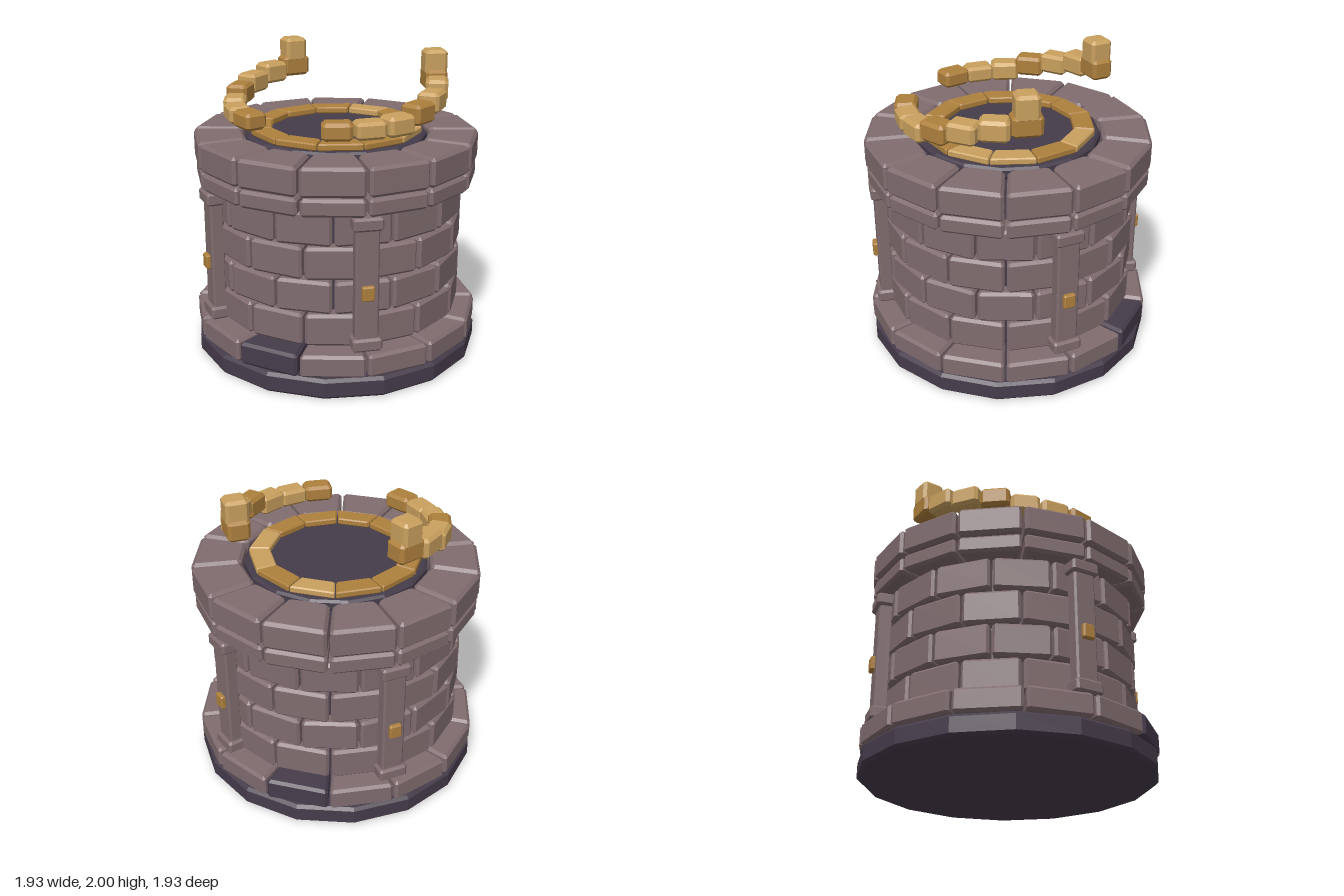
import * as THREE from 'three';

const mat = (name, color) => {
  const m = new THREE.MeshStandardMaterial({ color });
  m.name = name;
  m.flatShading = true;
  return m;
};

// Prism over a polygon of [x, z] points, standing on y = 0, with chamfered edges.
function prism(points, height, bevel, cutCorners = true) {
  const pts = points.map(([x, z]) => new THREE.Vector2(x, -z));
  const n = pts.length;
  const outline = !cutCorners ? pts : pts.flatMap((p, i) =>
    [pts[(i + n - 1) % n], pts[(i + 1) % n]].map((q) =>
      p.clone().add(q.clone().sub(p).setLength(bevel))));
  const geo = new THREE.ExtrudeGeometry(new THREE.Shape(outline), {
    depth: height - 2 * bevel, bevelEnabled: true, bevelSegments: 1,
    bevelSize: bevel, bevelThickness: bevel, bevelOffset: -bevel,
  });
  return geo.translate(0, 0, bevel).rotateX(-Math.PI / 2);
}

// Chamfered box centred on its own middle.
function block(w, h, d, bevel) {
  const x = w / 2, z = d / 2;
  return prism([[x, z], [x, -z], [-x, -z], [-x, z]], h, bevel).translate(0, -h / 2, 0);
}

// Chamfered disc with corners on the axes.
function disc(radius, height, sides, bevel) {
  const pts = Array.from({ length: sides }, (_, i) => {
    const a = (i / sides) * Math.PI * 2;
    return [Math.cos(a) * radius, Math.sin(a) * radius];
  });
  return prism(pts, height, bevel, false);
}

// Wedge stone facing +x, one of n in a ring.
function wedge(inner, outer, height, n, gap, bevel) {
  const t = Math.tan(Math.PI / n);
  const hi = inner * t - gap / 2, ho = outer * t - gap / 2;
  return prism([[outer, ho], [outer, -ho], [inner, -hi], [inner, hi]], height, bevel);
}

export function createModel() {
  const model = new THREE.Group();
  model.name = 'roundStoneWell';
  const stone = mat('stone', 0x806c6f);
  const dark = mat('darkStone', 0x463c4b);
  const lightGold = mat('lightGold', 0xc9a05e);
  const deepGold = mat('deepGold', 0xae803d);

  const add = (parent, name, geo, material, x = 0, y = 0, z = 0, turn = 0) => {
    const mesh = new THREE.Mesh(geo, material);
    mesh.name = name;
    mesh.position.set(x, y, z);
    mesh.rotation.y = -turn;
    parent.add(mesh);
    return mesh;
  };

  // A ring of n wedge stones; start is the angle of the first stone's middle
  function ring(name, y0, y1, inner, outer, n, start, gap, bevel, pick) {
    const group = new THREE.Group();
    group.name = name;
    const geo = wedge(inner, outer, y1 - y0, n, gap, bevel);
    for (let i = 0; i < n; i++) {
      add(group, name + 'Stone', geo, pick(i), 0, y0, 0, start + (i * Math.PI * 2) / n);
    }
    model.add(group);
  }

  // Foundation, inner core and the dark surface inside the rim
  add(model, 'foundation', disc(0.965, 0.135, 16, 0.02), dark);
  add(model, 'core', disc(0.74, 0.87, 28, 0.01), dark, 0, 0.3, 0);
  add(model, 'darkSurface', disc(0.605, 0.075, 16, 0.015), dark, 0, 1.41, 0);

  // Stone courses, with every other wall course shifted by half a stone
  const N = 14, half = Math.PI / N;
  const plain = () => stone;
  ring('plinth', 0.14, 0.29, 0.66, 0.945, N, half, 0.016, 0.018,
    (i) => (i % 7 === 3 ? dark : stone));
  for (let row = 0; row < 4; row++) {
    const y = 0.3 + row * 0.222;
    ring('wallCourse', y, y + 0.212, 0.66, 0.828, N, row % 2 ? 0 : half, 0.016, 0.018, plain);
  }
  ring('lowerRim', 1.18, 1.293, 0.64, 0.915, N, half, 0.016, 0.018, plain);
  ring('upperRim', 1.303, 1.49, 0.61, 0.925, N, half, 0.016, 0.02, plain);

  // Gold inlay ring
  ring('goldRing', 1.485, 1.53, 0.42, 0.553, 12, 0, 0.008, 0.008,
    (i) => ([0, 9, 11].includes(i) ? lightGold : deepGold));

  // Four pillars with foot, shaft, head and a gold stud
  const end = block(0.125, 0.085, 0.19, 0.014);
  const shaft = block(0.09, 0.76, 0.15, 0.012);
  const stud = block(0.036, 0.095, 0.08, 0.008);
  for (const sx of [1, -1]) {
    for (const sz of [1, -1]) {
      const pillar = new THREE.Group();
      pillar.name = 'pillar';
      pillar.rotation.y = -Math.atan2(sz * 0.675, sx * 0.548);
      add(pillar, 'pillarFoot', end, stone, 0.868, 0.345, 0);
      add(pillar, 'pillarShaft', shaft, stone, 0.863, 0.74, 0);
      add(pillar, 'pillarHead', end, stone, 0.868, 1.133, 0);
      add(pillar, 'pillarStud', stud, deepGold, 0.92, 0.693, 0);
      model.add(pillar);
    }
  }

  // Two mirrored floating arcs of gold blocks: [angle in degrees, y, height]
  const arc = [
    [62.5, 1.645, 0.11], [45.5, 1.645, 0.11], [29, 1.652, 0.125], [13, 1.697, 0.13],
    [-3.5, 1.735, 0.13], [-20, 1.775, 0.135], [-36, 1.805, 0.135],
  ];
  for (const side of [1, -1]) {
    const group = new THREE.Group();
    group.name = side > 0 ? 'leftArc' : 'rightArc';
    const place = (name, geo, material, deg, y) => {
      const a = THREE.MathUtils.degToRad(deg);
      add(group, name, geo, material,
        side * Math.cos(a) * 0.66, y, Math.sin(a) * 0.66, side > 0 ? a : Math.PI - a);
    };
    arc.forEach(([deg, y, h], i) =>
      place('arcBlock', block(0.145, h, 0.19, 0.02), i % 3 ? lightGold : deepGold, deg, y));
    place('arcTip', block(0.15, 0.165, 0.15, 0.02), lightGold, -36, 1.9175);
    model.add(group);
  }
  return model;
}
